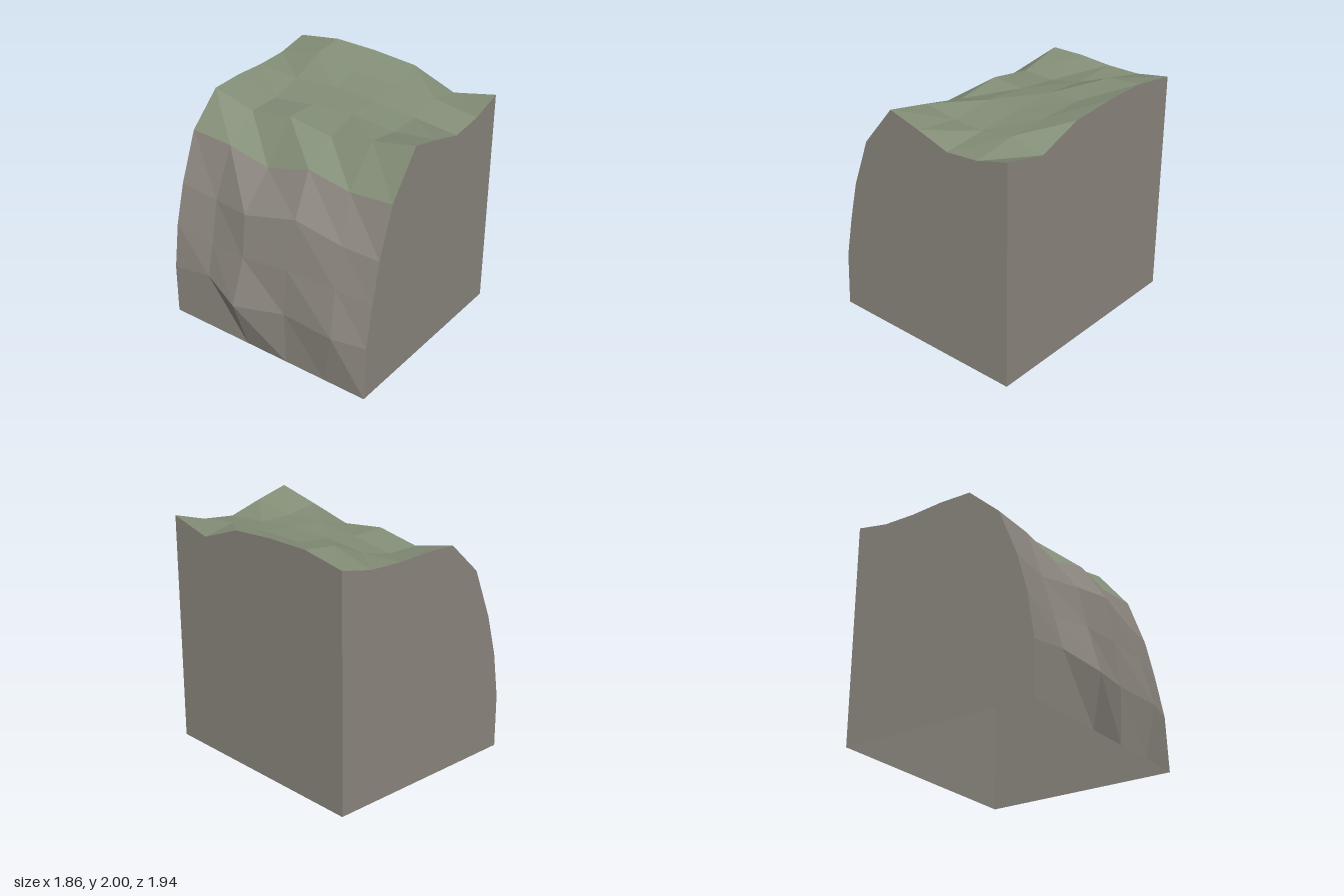
import * as THREE from 'three';

const rock = new THREE.MeshStandardMaterial({ color: 0x8c877f, flatShading: true, side: THREE.DoubleSide });
rock.name = 'grey rock';
const grass = new THREE.MeshStandardMaterial({ color: 0x838e77, flatShading: true, side: THREE.DoubleSide });
grass.name = 'moss green';

const HALF = 0.97, RIGHT = 0.93;
const zs = [-HALF, -0.585, -0.2, 0.2, 0.585, HALF];
const xs = [-0.5, -0.215, 0.07, 0.355, 0.645, RIGHT];

// Heights of the grassy top: one row per z, one column per x
const heights = [
  [1.61, 1.874, 1.884, 1.87, 1.878, 1.935],
  [1.597, 1.787, 1.785, 1.85, 1.97, 2.0],
  [1.518, 1.853, 1.84, 1.885, 1.91, 2.0],
  [1.645, 1.803, 1.88, 1.88, 1.91, 1.975],
  [1.585, 1.894, 1.85, 1.85, 1.9, 1.84],
  [1.62, 1.98, 1.905, 1.82, 1.85, 1.935],
];

// Cliff bulges above the straight foot: three [x, y, z] points per z
const bulges = [
  [[-0.82, 0.45, -HALF], [-0.763, 0.84, -HALF], [-0.668, 1.19, -HALF]],
  [[-0.82, 0.51, -0.6], [-0.75, 0.79, -0.6], [-0.655, 1.15, -0.62]],
  [[-0.93, 0.42, -0.25], [-0.81, 0.83, -0.23], [-0.74, 1.19, -0.25]],
  [[-0.835, 0.48, 0.2], [-0.79, 0.88, 0.2], [-0.71, 1.31, 0.23]],
  [[-0.865, 0.48, 0.68], [-0.77, 0.88, 0.65], [-0.68, 1.22, 0.66]],
  [[-0.8, 0.48, HALF], [-0.73, 0.85, HALF], [-0.65, 1.2, HALF]],
];

// Each section runs from the cliff foot up and over to the right edge
const sections = zs.map((z, k) => [
  [-0.82, 0, z],
  ...bulges[k],
  ...xs.map((x, i) => [x, heights[k][i], z]),
]);

// Faceted skin between the sections, from point index "from" to "to"
function skin(name, from, to, material) {
  const pos = [];
  for (let k = 0; k < sections.length - 1; k++) {
    for (let i = from; i < to; i++) {
      const a = sections[k][i], b = sections[k][i + 1];
      const d = sections[k + 1][i], c = sections[k + 1][i + 1];
      pos.push(...a, ...d, ...b, ...b, ...d, ...c);
    }
  }
  const geo = new THREE.BufferGeometry();
  geo.setAttribute('position', new THREE.Float32BufferAttribute(pos, 3));
  geo.computeVertexNormals();
  const mesh = new THREE.Mesh(geo, material);
  mesh.name = name;
  return mesh;
}

// Flat cut side, drawn from [u, y] outline points and turned into place
function wall(name, outline, turn, x, z) {
  const shape = new THREE.Shape(outline.map(([u, y]) => new THREE.Vector2(u, y)));
  const mesh = new THREE.Mesh(new THREE.ShapeGeometry(shape), rock);
  mesh.name = name;
  mesh.rotation.y = turn;
  mesh.position.set(x, 0, z);
  return mesh;
}

export function createModel() {
  const group = new THREE.Group();
  group.name = 'cliffBlock';

  group.add(skin('cliffFace', 0, 4, rock));
  group.add(skin('grassyTop', 4, 9, grass));

  // Cut sides; the underside stays open
  const front = sections[5].map(([x, y]) => [x, y]);
  const back = sections[0].map(([x, y]) => [-x, y]);
  const side = zs.map((z, k) => [-z, heights[k][5]]);
  group.add(wall('frontWall', [...front, [RIGHT, 0]], 0, 0, HALF));
  group.add(wall('backWall', [...back, [-RIGHT, 0]], Math.PI, 0, -HALF));
  group.add(wall('sideWall', [...side, [-HALF, 0], [HALF, 0]], Math.PI / 2, RIGHT, 0));
  return group;
}
